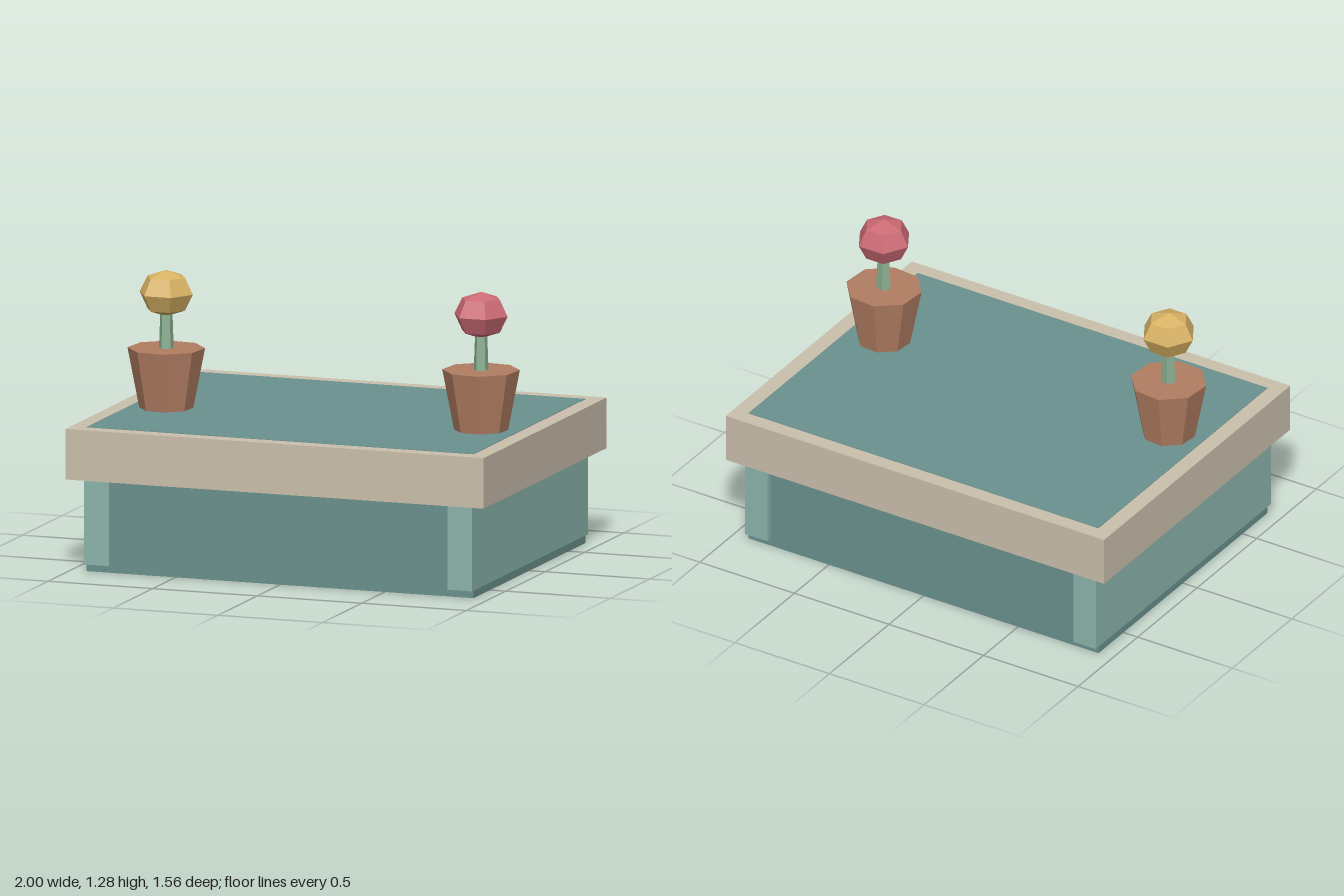
import * as THREE from 'three';

const mat = (name, color) => {
  const m = new THREE.MeshStandardMaterial({ color, flatShading: true });
  m.name = name;
  return m;
};

export function createModel() {
  const teal = mat('deep teal', 0x6a918e);
  const paleTeal = mat('pale teal', 0x8cb5ac);
  const stone = mat('warm stone', 0xcabfac);
  const clay = mat('terracotta', 0xb27e62);
  const green = mat('stem green', 0x8bb092);
  const yellow = mat('yellow bloom', 0xd9b264);
  const red = mat('red bloom', 0xcb6a74);

  const model = new THREE.Group();
  model.name = 'planterCounter';

  const add = (parent, name, geometry, material, x, y, z) => {
    const mesh = new THREE.Mesh(geometry, material);
    mesh.name = name;
    mesh.position.set(x, y, z);
    parent.add(mesh);
    return mesh;
  };
  // Box given by its size and the height of its underside
  const box = (name, material, w, h, d, x, y0) =>
    add(model, name, new THREE.BoxGeometry(w, h, d), material, x, y0 + h / 2, 0);

  // Body, overhanging top slab and its inset panel
  box('body', teal, 1.85, 0.5, 1.42, 0, 0);
  box('topSlab', stone, 2, 0.23, 1.564, 0, 0.425);
  box('topPanel', teal, 1.85, 0.004, 1.42, 0, 0.653);

  // End panels that wrap slightly past the front and back
  for (const side of [-1, 1]) {
    box(side > 0 ? 'leftEndPanel' : 'rightEndPanel', paleTeal, 0.118, 0.392, 1.47, side * 0.868, 0.035);
  }

  // Potted blooms near the two ends
  const pottedBloom = (name, x, bloomMaterial) => {
    const plant = new THREE.Group();
    plant.name = name;
    plant.position.set(x, 0.655, 0.15);
    add(plant, 'pot', new THREE.CylinderGeometry(0.174, 0.121, 0.275, 8, 1, false, 0.3), clay, 0, 0.1375, 0);
    add(plant, 'stem', new THREE.CylinderGeometry(0.027, 0.036, 0.24, 5, 1, false, -0.31), green, 0, 0.36, 0);
    const bloom = add(plant, 'bloom', new THREE.SphereGeometry(0.127, 6, 4), bloomMaterial, 0, 0.524, 0);
    bloom.scale.y = 0.83;
    model.add(plant);
  };
  pottedBloom('rightPlant', -0.755, yellow);
  pottedBloom('leftPlant', 0.75, red);

  return model;
}
